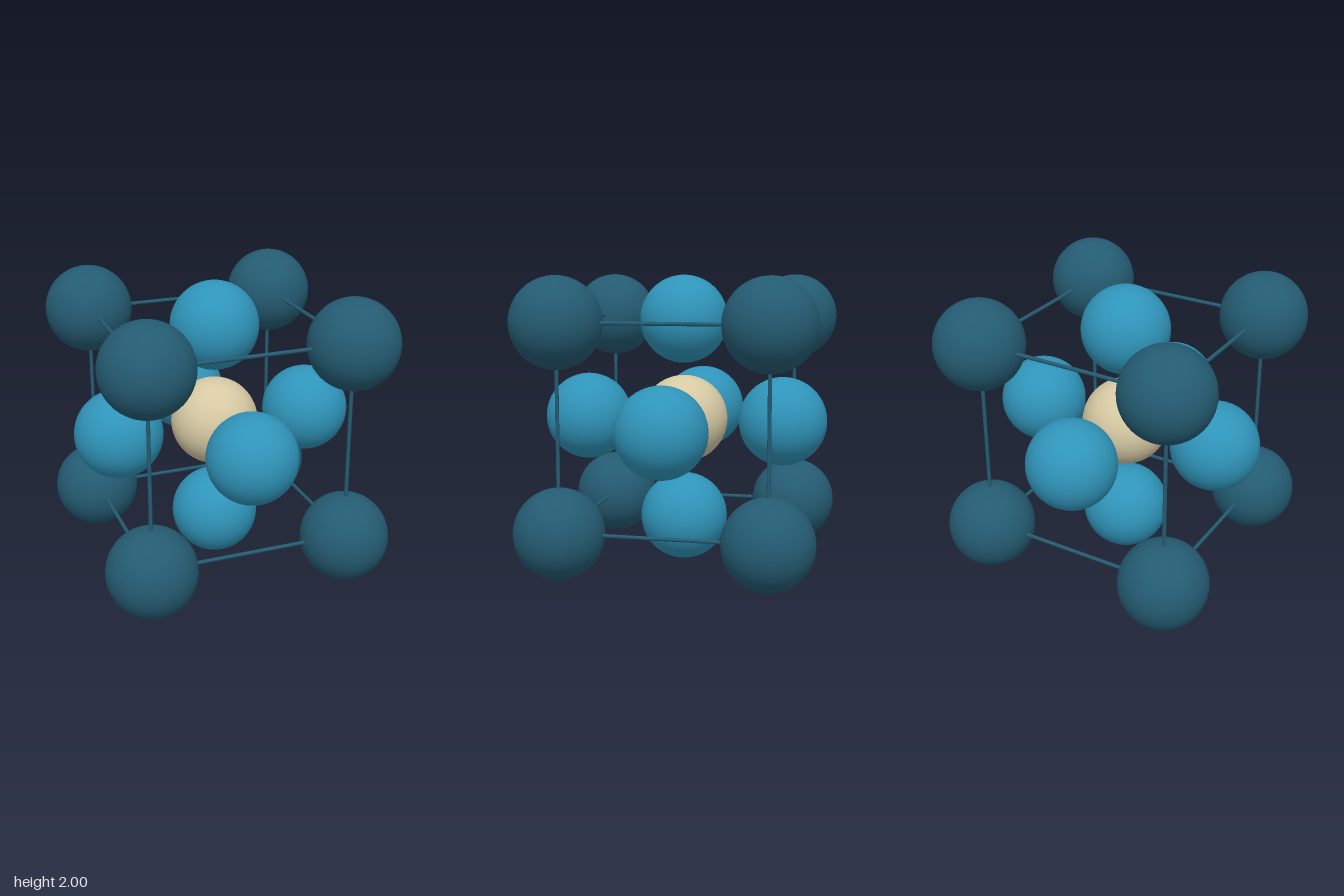
import * as THREE from 'three';

const HALF = 0.695;      // half the cell edge
const RADIUS = 0.304;    // atom radius
const ROD = 0.013;       // rod radius

export function createModel() {
  const model = new THREE.Group();
  model.name = 'cubicLattice';

  const darkBlue = new THREE.MeshStandardMaterial({ name: 'darkBlue', color: 0x245b72 });
  const brightBlue = new THREE.MeshStandardMaterial({ name: 'brightBlue', color: 0x2f94b9 });
  const sand = new THREE.MeshStandardMaterial({ name: 'sand', color: 0xd6c9a3 });

  const ball = new THREE.SphereGeometry(RADIUS, 48, 32);
  const rod = new THREE.CylinderGeometry(ROD, ROD, HALF * 2, 12);

  const add = (name, geometry, material, x, y, z) => {
    const mesh = new THREE.Mesh(geometry, material);
    mesh.name = name;
    mesh.position.set(x * HALF, 1 + y * HALF, z * HALF);
    model.add(mesh);
    return mesh;
  };

  // Ball at the centre of the cell
  add('centreBall', ball, sand, 0, 0, 0);

  // Balls on the six faces
  for (const s of [-1, 1]) {
    add('faceBall', ball, brightBlue, s, 0, 0);
    add('faceBall', ball, brightBlue, 0, s, 0);
    add('faceBall', ball, brightBlue, 0, 0, s);
  }

  for (const a of [-1, 1]) {
    for (const b of [-1, 1]) {
      // Balls on the eight corners
      for (const c of [-1, 1]) add('cornerBall', ball, darkBlue, a, b, c);

      // Rods along the twelve edges
      add('edgeRod', rod, darkBlue, a, 0, b);
      add('edgeRod', rod, darkBlue, 0, a, b).rotation.z = Math.PI / 2;
      add('edgeRod', rod, darkBlue, a, b, 0).rotation.x = Math.PI / 2;
    }
  }
  return model;
}
